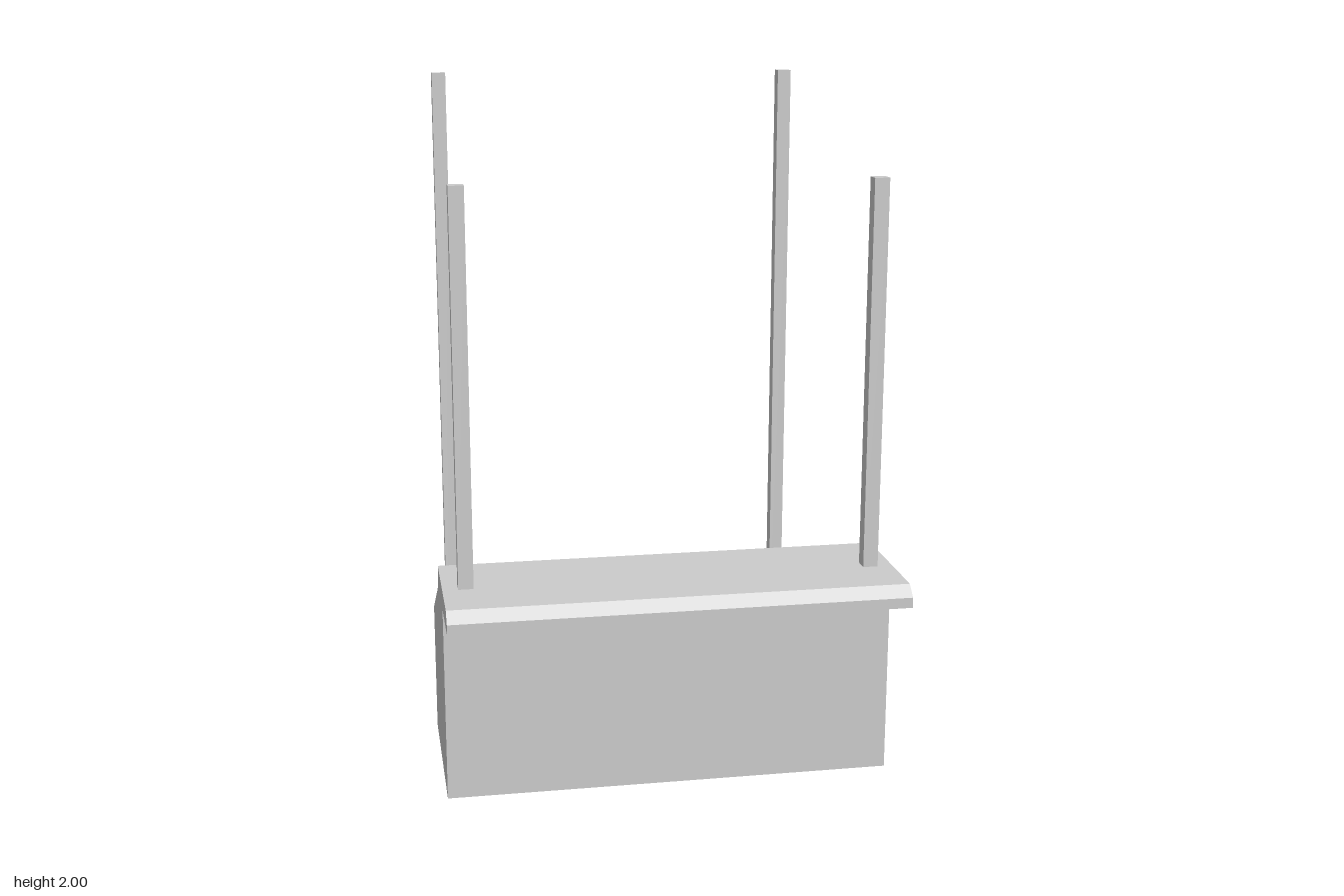
import * as THREE from 'three';

const material = new THREE.MeshStandardMaterial({ color: 0xcccccc, flatShading: true });

function add(parent, name, geometry, x, y, z) {
  const mesh = new THREE.Mesh(geometry, material);
  mesh.name = name;
  mesh.position.set(x, y, z);
  parent.add(mesh);
}

// Extrudes a [z, y] outline along x, centred on x = 0
function profile(points, width) {
  const shape = new THREE.Shape(points.map(([z, y]) => new THREE.Vector2(z, y)));
  return new THREE.ExtrudeGeometry(shape, { depth: width, bevelEnabled: false })
    .translate(0, 0, -width / 2)
    .rotateY(-Math.PI / 2);
}

export function createModel() {
  const stall = new THREE.Group();
  stall.name = 'marketStall';

  const width = 1.3, sideThickness = 0.065, post = 0.043;
  const frontZ = 0.43, panelDepth = 0.14, underside = 0.575, top = 0.635;

  // Counter top with a chamfered front lip and a sloping back edge
  add(stall, 'counterTop', profile([
    [0.64, underside], [0.64, 0.605], [0.607, top],
    [0.225, top], [0.215, 0.6], [0.21, underside],
  ], width), 0, 0, 0);

  // Thick front panel between the two sides
  add(stall, 'frontPanel',
    new THREE.BoxGeometry(width - 2 * sideThickness, underside, panelDepth),
    0, underside / 2, frontZ - panelDepth / 2);

  const sideOutline = [
    [frontZ, 0], [frontZ, underside], [0.21, underside], [0.18, 0.55], [-0.1, 0.395], [-0.1, 0],
  ];

  for (const [label, s] of [['left', 1], ['right', -1]]) {
    // Side panel, sloping down toward the back
    add(stall, label + 'SidePanel', profile(sideOutline, sideThickness),
      s * (width - sideThickness) / 2, 0, 0);

    // Short post on the counter, tall post standing behind
    const frontHeight = 1.757 - top;
    add(stall, label + 'FrontPost', new THREE.BoxGeometry(post, frontHeight, post),
      s * 0.584, top + frontHeight / 2, 0.423);
    add(stall, label + 'BackPost', new THREE.BoxGeometry(post, 2, post),
      s * 0.564, 1, -0.62);
  }
  return stall;
}
